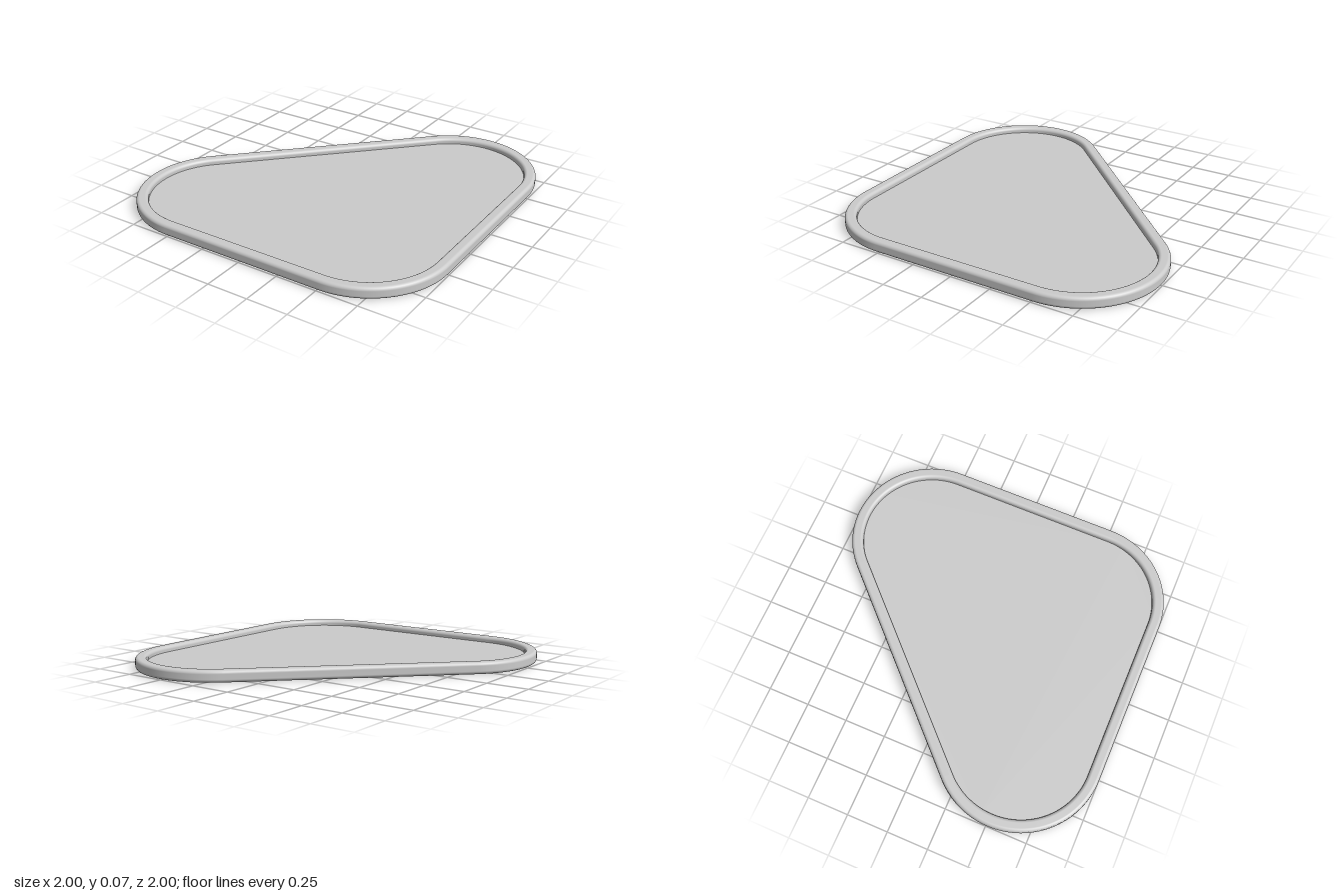
import * as THREE from 'three';

const HALF = 0.035;    // half the rim's width and height
const ROUND = 0.02;    // rounding of the rim's edges
const RADIUS = 0.49;   // outer corner radius
const CORNERS = [      // centre x, centre z, start and end angle in degrees
  [0.51, 0.51, 0, 90],
  [-0.51, 0.51, 90, 225],
  [0.51, -0.51, 225, 360],
];

// Rounded triangle followed along the middle of the rim, with outward normals
function outline(steps = 40) {
  const points = [];
  for (const [cx, cz, from, to] of CORNERS) {
    for (let i = 0; i <= steps; i++) {
      const t = THREE.MathUtils.degToRad(from + (to - from) * i / steps);
      const nx = Math.cos(t), nz = Math.sin(t), r = RADIUS - HALF;
      points.push({ x: cx + nx * r, z: cz + nz * r, nx, nz });
    }
  }
  return points;
}

// Rounded square section: offset outwards, height and normal
function section(steps = 6) {
  const points = [], flat = HALF - ROUND;
  for (let q = 0; q < 4; q++) {
    const mid = (q + 0.5) * Math.PI / 2;
    for (let i = 0; i <= steps; i++) {
      const u = (q + i / steps) * Math.PI / 2;
      const nu = Math.cos(u), ny = Math.sin(u);
      points.push({
        out: Math.sign(Math.cos(mid)) * flat + ROUND * nu,
        y: Math.sign(Math.sin(mid)) * flat + ROUND * ny,
        nu, ny,
      });
    }
  }
  return points;
}

// Sweep the section round the outline as a closed loop
function rimGeometry(path, profile) {
  const pos = [], nor = [], index = [];
  const n = path.length, m = profile.length;
  path.forEach((p, i) => profile.forEach((s, j) => {
    pos.push(p.x + p.nx * s.out, HALF + s.y, p.z + p.nz * s.out);
    nor.push(p.nx * s.nu, s.ny, p.nz * s.nu);
    const a = i * m + j, b = i * m + (j + 1) % m;
    const c = ((i + 1) % n) * m + j, d = ((i + 1) % n) * m + (j + 1) % m;
    index.push(a, b, c, b, d, c);
  }));
  const g = new THREE.BufferGeometry();
  g.setAttribute('position', new THREE.Float32BufferAttribute(pos, 3));
  g.setAttribute('normal', new THREE.Float32BufferAttribute(nor, 3));
  g.setIndex(index);
  return g;
}

export function createModel() {
  const group = new THREE.Group();
  group.name = 'roundedTriangleTray';
  const path = outline();

  // Raised rim
  const rim = new THREE.Mesh(
    rimGeometry(path, section()),
    new THREE.MeshStandardMaterial({ color: 0xcccccc }));
  rim.name = 'rim';

  // Thin panel at mid height, its edge hidden inside the rim
  const shape = new THREE.Shape(path.map(p => new THREE.Vector2(p.x, -p.z)));
  const panel = new THREE.Mesh(
    new THREE.ShapeGeometry(shape).rotateX(-Math.PI / 2).translate(0, HALF, 0),
    new THREE.MeshStandardMaterial({ color: 0xcccccc, side: THREE.DoubleSide }));
  panel.name = 'panel';

  group.add(rim, panel);
  return group;
}
